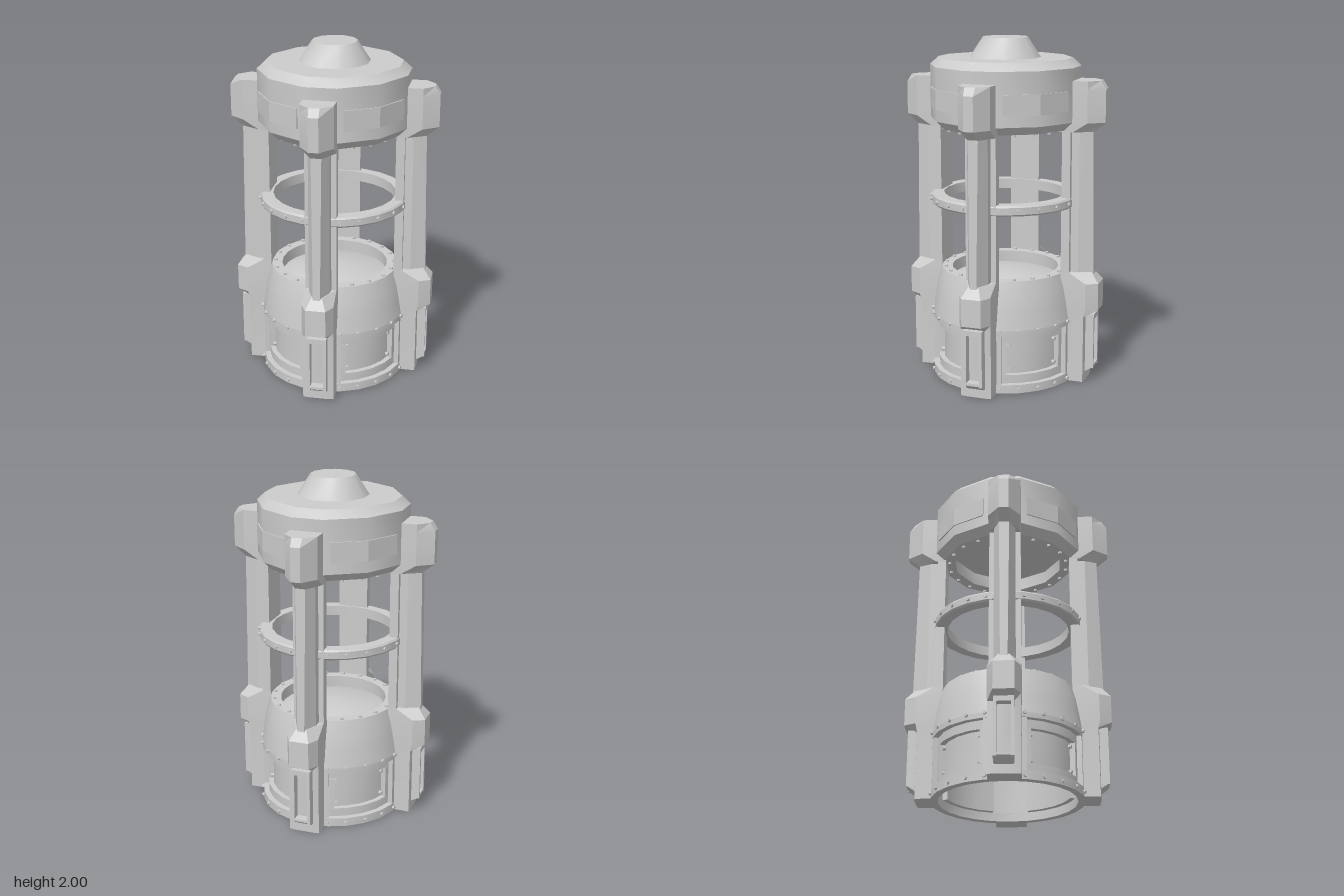
import * as THREE from 'three';
import { toCreasedNormals } from 'three/addons/utils/BufferGeometryUtils.js';

const D = Math.PI / 180;
const grey = new THREE.MeshStandardMaterial({ color: 0xcccccc, side: THREE.DoubleSide });

function part(parent, name, geometry, crease = 0.35) {
  const mesh = new THREE.Mesh(toCreasedNormals(geometry, crease), grey);
  mesh.name = name;
  parent.add(mesh);
  return mesh;
}

// Box bent round the y axis: degrees a0..a1 (0 = +z), heights, radii
function bentBox(a0, a1, y0, y1, r0, r1, segs) {
  const g = new THREE.BoxGeometry(1, 1, 1, segs, 1, 1);
  const p = g.attributes.position;
  for (let i = 0; i < p.count; i++) {
    const a = (a0 + (a1 - a0) * (p.getX(i) + 0.5)) * D;
    const r = r0 + (r1 - r0) * (p.getZ(i) + 0.5);
    p.setXYZ(i, r * Math.sin(a), y0 + (y1 - y0) * (p.getY(i) + 0.5), r * Math.cos(a));
  }
  return g;
}

function lathe(points, segs) {
  return new THREE.LatheGeometry(points.map(([r, y]) => new THREE.Vector2(r, y)), segs);
}

// Stack of six-sided sections: [y, inner z, half width, shoulder z, front z, front half width]
function loft(sections) {
  const pos = [], index = [], n = 6;
  for (const [y, inner, w, s, f, t] of sections)
    for (const [x, z] of [[-w, inner], [-w, s], [-t, f], [t, f], [w, s], [w, inner]]) pos.push(x, y, z);
  for (let k = 0; k < sections.length - 1; k++)
    for (let i = 0; i < n; i++) {
      const a = k * n + i, b = k * n + (i + 1) % n;
      index.push(a, b, b + n, a, b + n, a + n);
    }
  const top = (sections.length - 1) * n;
  for (let i = 1; i < n - 1; i++) index.push(0, i + 1, i, top, top + i, top + i + 1);
  const g = new THREE.BufferGeometry();
  g.setAttribute('position', new THREE.Float32BufferAttribute(pos, 3));
  g.setIndex(index);
  return g;
}

// Small bolt head, pointing outward or along y
function rivet(parent, deg, r, y, vertical = false) {
  const m = part(parent, 'rivet', new THREE.CylinderGeometry(0.011, 0.011, 0.022, 8));
  m.position.set(r * Math.sin(deg * D), y, r * Math.cos(deg * D));
  if (!vertical) m.rotation.set(Math.PI / 2, deg * D, 0, 'YXZ');
}

function makeLeg() {
  const leg = new THREE.Group();
  leg.name = 'leg';
  // Foot and knee
  part(leg, 'foot', loft([
    [0, 0.4, 0.09, 0.51, 0.515, 0.055],
    [0.4, 0.4, 0.09, 0.51, 0.515, 0.055],
    [0.44, 0.37, 0.092, 0.52, 0.588, 0.058],
    [0.6, 0.37, 0.092, 0.52, 0.588, 0.058],
    [0.66, 0.37, 0.09, 0.42, 0.54, 0.03],
  ]));
  // Column: wide inner plate with a narrower pointed rib outside it
  const plate = part(leg, 'columnPlate', new THREE.BoxGeometry(0.18, 0.95, 0.05));
  plate.position.set(0, 1.075, 0.395);
  part(leg, 'columnRib', loft([
    [0.6, 0.41, 0.06, 0.465, 0.55, 0.02],
    [1.55, 0.41, 0.06, 0.465, 0.535, 0.03],
  ]));
  part(leg, 'head', loft([
    [1.48, 0.37, 0.09, 0.43, 0.535, 0.03],
    [1.535, 0.37, 0.093, 0.516, 0.605, 0.028],
    [1.725, 0.37, 0.093, 0.516, 0.605, 0.028],
    [1.77, 0.37, 0.093, 0.516, 0.575, 0.03],
  ]));
  // Raised frame on the foot
  for (const s of [-1, 1]) {
    const side = part(leg, 'footFrameSide', new THREE.BoxGeometry(0.018, 0.33, 0.065));
    side.position.set(s * 0.047, 0.245, 0.532);
  }
  part(leg, 'footFrameBottom', loft([
    [0.05, 0.45, 0.055, 0.505, 0.515, 0.05],
    [0.085, 0.45, 0.056, 0.56, 0.564, 0.05],
    [0.1, 0.45, 0.056, 0.56, 0.564, 0.05],
  ]));
  const lip = part(leg, 'footFrameTop', new THREE.BoxGeometry(0.11, 0.03, 0.065));
  lip.position.set(0, 0.395, 0.532);
  return leg;
}

// One quarter of the base wall details, ring rivets and cap panel
function makeSide() {
  const side = new THREE.Group();
  side.name = 'side';
  part(side, 'wallPost', bentBox(29.2, 60.8, 0.05, 0.345, 0.39, 0.43, 2));
  // Stepped frame around the recessed service panel
  part(side, 'servicePanel', bentBox(-29.2, 29.2, 0.05, 0.345, 0.36, 0.37, 4));
  part(side, 'panelSill', bentBox(-29.2, 29.2, 0.05, 0.1, 0.36, 0.4, 4));
  part(side, 'panelLintel', bentBox(-29.2, 29.2, 0.295, 0.345, 0.36, 0.4, 4));
  for (const s of [-1, 1])
    part(side, 'panelJamb', bentBox(s * 27.1 - 2.2, s * 27.1 + 2.2, 0.1, 0.295, 0.36, 0.4, 1));
  for (const a of [-23, 23])
    for (const y of [0.125, 0.27]) rivet(side, a, 0.373, y);
  for (const a of [-30.5, -16, 0, 16, 30.5])
    for (const y of [0.022, 0.372, 1.07]) rivet(side, a, 0.432, y);
  part(side, 'capPanel', bentBox(-27.7, 27.7, 1.6, 1.715, 0.4, 0.436, 2));
  return side;
}

export function createModel() {
  const model = new THREE.Group();
  model.name = 'containmentChamber';

  // Base: thin bands and a conical shoulder with a sunken, domed floor
  part(model, 'baseBottomBand', bentBox(-180, 180, 0, 0.05, 0.39, 0.432, 24));
  part(model, 'baseTopBand', bentBox(-180, 180, 0.345, 0.375, 0.36, 0.432, 24));
  part(model, 'baseShoulder', lathe([[0.432, 0.375], [0.418, 0.47], [0.4, 0.57], [0.376, 0.65],
    [0.315, 0.65], [0.315, 0.58], [0.18, 0.62], [0, 0.635]], 24));

  // Middle hoop
  part(model, 'middleRing', lathe([[0.36, 1.04], [0.425, 1.04], [0.433, 1.05], [0.433, 1.09],
    [0.425, 1.1], [0.36, 1.1], [0.36, 1.04]], 24));

  // Cap: twelve sides, pulled slightly towards the legs
  const cap = lathe([[0, 1.5], [0.1, 1.505], [0.315, 1.565], [0.315, 1.488], [0.385, 1.488], [0.43, 1.535],
    [0.43, 1.84], [0.382, 1.885], [0, 1.885]], 12);
  const p = cap.attributes.position;
  for (let i = 0; i < p.count; i++) {
    const a = Math.atan2(p.getX(i), p.getZ(i)), k = Math.sin(4 * a);
    const r = Math.hypot(p.getX(i), p.getZ(i)) * (1 + 0.025 * Math.abs(k));
    const b = a + 3.4 * D * k;
    p.setXYZ(i, r * Math.sin(b), p.getY(i), r * Math.cos(b));
  }
  part(model, 'cap', cap, 0.62);
  const cone = part(model, 'capCone', new THREE.CylinderGeometry(0.13, 0.208, 0.12, 12), 0.62);
  cone.position.y = 1.94;

  // Rivets around both chamber openings
  for (let i = 0; i < 20; i++) {
    rivet(model, i * 18, 0.355, 0.65, true);
    rivet(model, i * 18, 0.355, 1.486, true);
  }

  for (let i = 0; i < 4; i++) {
    const leg = makeLeg(), side = makeSide();
    leg.rotation.y = (45 + 90 * i) * D;
    side.rotation.y = 90 * i * D;
    model.add(leg, side);
  }
  return model;
}
